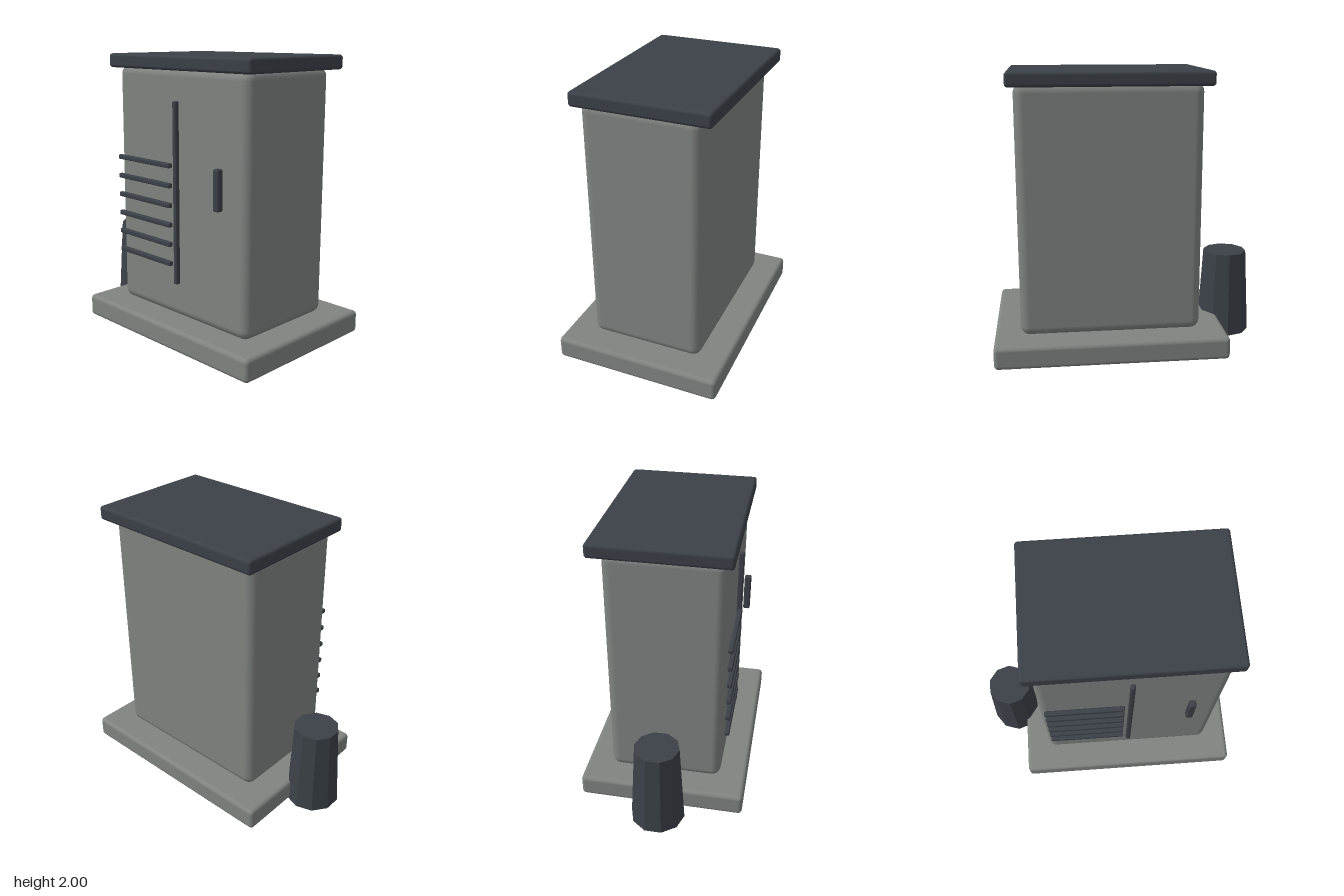
import * as THREE from 'three';
import { RoundedBoxGeometry } from 'three/addons/geometries/RoundedBoxGeometry.js';

export function createModel() {
  const model = new THREE.Group();
  model.name = 'utilityCabinet';

  const grey = new THREE.MeshStandardMaterial({ color: 0x7f8481 });
  grey.name = 'cabinet grey';
  const dark = new THREE.MeshStandardMaterial({ color: 0x3b4148, flatShading: false });
  dark.name = 'dark slate';

  // Rounded box given by its extents along each axis
  function block(name, material, [x0, x1], [y0, y1], [z0, z1], radius, segments = 3) {
    const geometry = new RoundedBoxGeometry(x1 - x0, y1 - y0, z1 - z0, segments, radius);
    const mesh = new THREE.Mesh(geometry, material);
    mesh.position.set((x0 + x1) / 2, (y0 + y1) / 2, (z0 + z1) / 2);
    mesh.name = name;
    model.add(mesh);
  }

  // Plinth, cabinet and overhanging lid
  block('base', grey, [-0.69, 0.955], [0, 0.163], [-0.598, 0.598], 0.03);
  block('cabinet', grey, [-0.508, 0.772], [0.157, 1.92], [-0.408, 0.408], 0.065);
  block('lid', dark, [-0.56, 0.82], [1.9, 2], [-0.494, 0.454], 0.022);

  // Door seam and handle
  block('doorSeam', dark, [0.115, 0.149], [0.415, 1.698], [0.414, 0.45], 0.009, 2);
  block('doorHandle', dark, [0.528, 0.578], [1.017, 1.297], [0.427, 0.477], 0.012, 2);

  // Vent slats
  for (let i = 0; i < 6; i++) {
    const y = 0.555 + i * 0.14;
    block('ventSlat', dark, [-0.468, 0.088], [y - 0.017, y + 0.017], [0.426, 0.461], 0.009, 2);
  }

  // Tapered ten-sided post; non-indexed so each facet keeps a flat normal
  const postGeometry = new THREE.CylinderGeometry(0.159, 0.195, 0.625, 10).toNonIndexed();
  postGeometry.computeVertexNormals();
  const post = new THREE.Mesh(postGeometry, dark);
  post.position.set(-0.774, 0.3125, 0);
  post.name = 'sidePost';
  model.add(post);

  return model;
}
